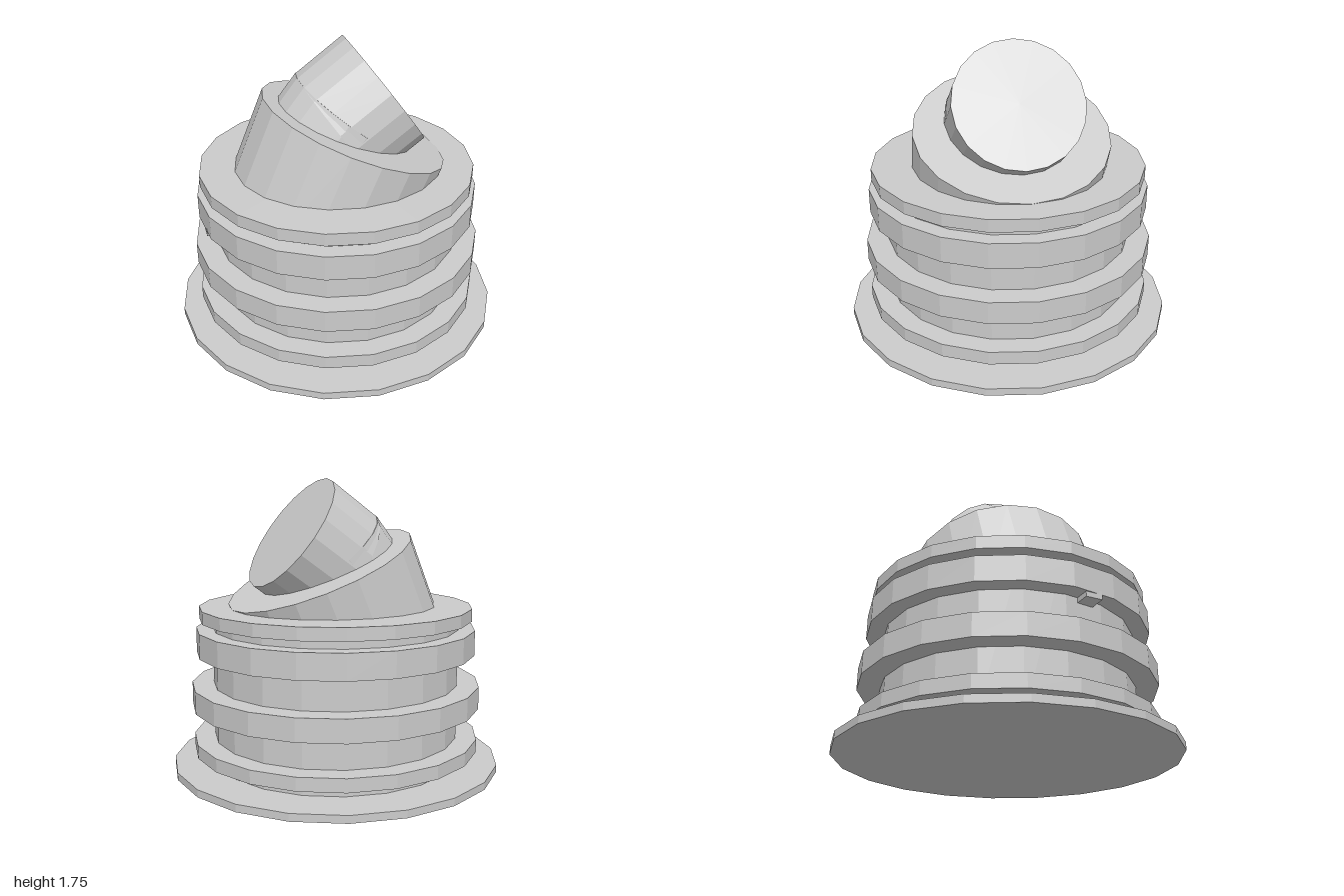
import * as THREE from 'three';

const SIDES = 20;
const TURN = THREE.MathUtils.degToRad(-2); // slight twist shared by every faceted part
const material = new THREE.MeshStandardMaterial({ color: 0xcccccc, flatShading: true });

// Upright faceted disc between two heights
function disc(name, radius, bottom, top) {
  const geometry = new THREE.CylinderGeometry(radius, radius, top - bottom, SIDES, 1, false, TURN);
  const mesh = new THREE.Mesh(geometry, material);
  mesh.name = name;
  mesh.position.y = (bottom + top) / 2;
  return mesh;
}

// Cylinder leaning toward +x, placed by the centre of its top face
function leaningCylinder(name, radius, length, topX, topY, degrees) {
  const geometry = new THREE.CylinderGeometry(radius, radius, length, SIDES, 1, false, TURN);
  geometry.translate(0, -length / 2, 0);
  const mesh = new THREE.Mesh(geometry, material);
  mesh.name = name;
  mesh.position.set(topX, topY, 0);
  mesh.rotation.z = -THREE.MathUtils.degToRad(degrees);
  return mesh;
}

export function createModel() {
  const model = new THREE.Group();
  model.name = 'ringedBaseWithAngledSpout';

  // Base plate and central drum
  model.add(disc('basePlate', 1, 0, 0.045));
  model.add(disc('drum', 0.75, 0.02, 0.97));

  // Rings stacked up the drum: radius, bottom, top
  const rings = [
    [0.875, 0.115, 0.195],
    [0.882, 0.385, 0.52],
    [0.85, 0.71, 0.86],
    [0.83, 0.915, 0.99],
  ];
  rings.forEach(([r, bottom, top], i) => model.add(disc(`ring${i + 1}`, r, bottom, top)));

  // Small tab under the third ring
  const tab = new THREE.Mesh(new THREE.BoxGeometry(0.12, 0.05, 0.1), material);
  tab.name = 'tab';
  tab.position.set(-0.77, 0.705, 0.1);
  model.add(tab);

  // Slanted collar sunk into the top, with a bent spout rising from it
  model.add(leaningCylinder('collar', 0.587, 0.55, 0.11, 1.215, 22.5));
  model.add(leaningCylinder('spoutLower', 0.387, 0.4, 0.076, 1.304, 38));
  model.add(leaningCylinder('spoutUpper', 0.388, 0.36, 0.29, 1.438, 54));

  return model;
}
